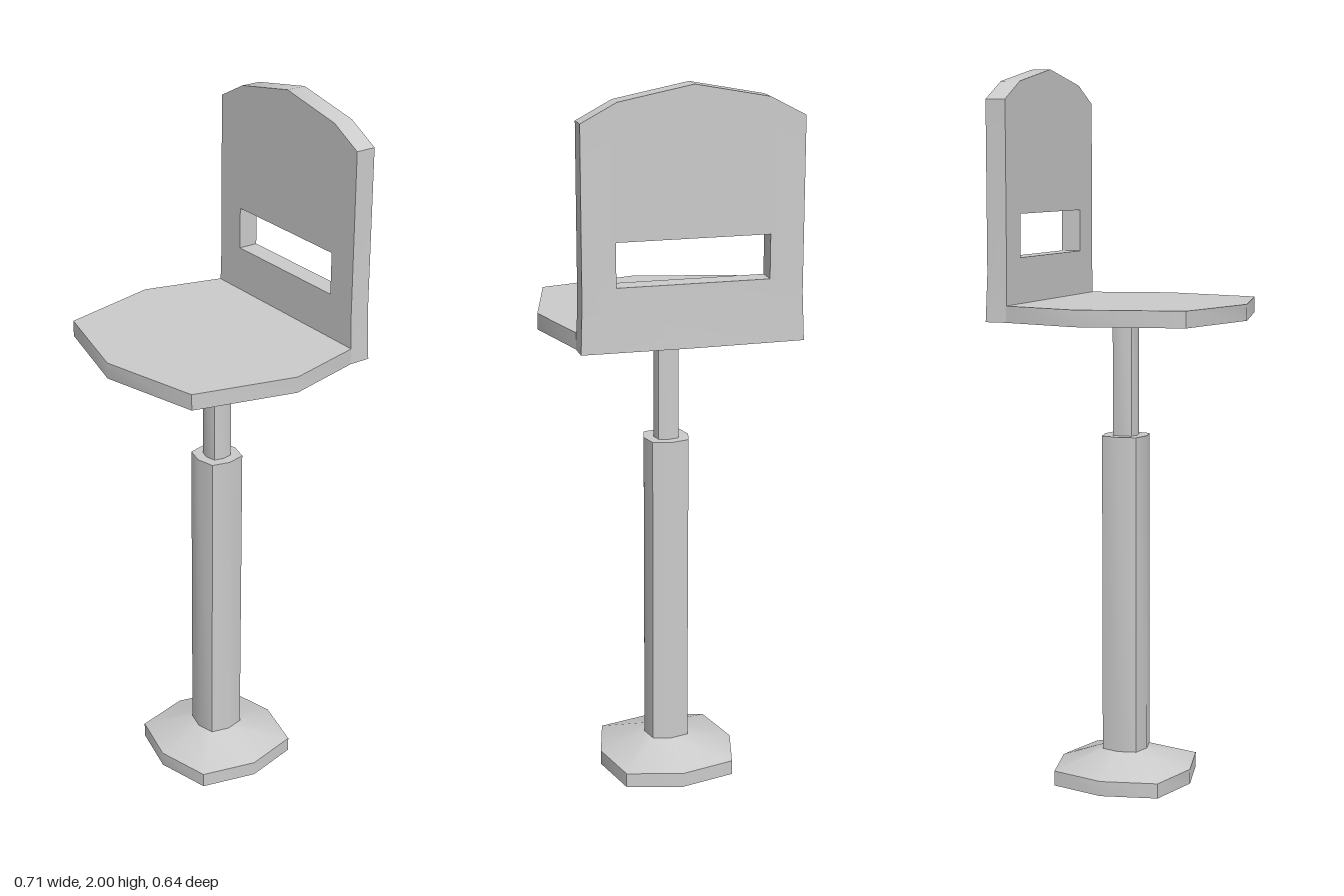
import * as THREE from 'three';
import { toCreasedNormals } from 'three/addons/utils/BufferGeometryUtils.js';

const material = new THREE.MeshStandardMaterial({ color: 0xcccccc });
const CREASE = 0.6;
const AXIS_Z = -0.032;

function part(name, geometry) {
  const mesh = new THREE.Mesh(toCreasedNormals(geometry, CREASE), material);
  mesh.name = name;
  return mesh;
}

// Eight-sided turned part; its diagonal corners are pushed out to make a bulging square.
function turned(name, profile) {
  const geometry = new THREE.LatheGeometry(profile.map(([r, y]) => new THREE.Vector2(r, y)), 8);
  const p = geometry.attributes.position;
  for (let i = 0; i < p.count; i++) {
    const x = p.getX(i), z = p.getZ(i);
    const k = Math.abs(x) > 1e-4 && Math.abs(z) > 1e-4 ? 0.8 * Math.SQRT2 : 1;
    p.setXYZ(i, x * k, p.getY(i), z * k);
  }
  const mesh = part(name, geometry);
  mesh.position.z = AXIS_Z;
  return mesh;
}

// Closed outline from its right half (bottom centre to top centre), mirrored in x.
function mirroredShape(half) {
  const left = half.filter(([x]) => x > 0).reverse().map(([x, y]) => [-x, y]);
  return new THREE.Shape([...half, ...left].map(([x, y]) => new THREE.Vector2(x, y)));
}

function seat() {
  // Outline drawn with y = -z, then laid flat
  const shape = mirroredShape([[0, -0.322], [0.285, -0.25], [0.357, 0.035], [0.3, 0.257], [0, 0.257]]);
  const geometry = new THREE.ExtrudeGeometry(shape, { depth: 0.045, bevelEnabled: false });
  geometry.rotateX(-Math.PI / 2);
  geometry.translate(0, 1.32, 0);
  return part('seat', geometry);
}

function backrest() {
  const shape = mirroredShape([
    [0, 1.32], [0.3, 1.32], [0.295, 1.45], [0.295, 1.912], [0.2, 1.962], [0, 2],
  ]);
  // Hand slot
  shape.holes.push(new THREE.Path([[-0.205, 1.49], [-0.205, 1.608], [0.205, 1.608], [0.205, 1.49]]
    .map(([x, y]) => new THREE.Vector2(x, y))));
  const geometry = new THREE.ExtrudeGeometry(shape, { depth: 0.057, bevelEnabled: false });
  geometry.translate(0, 0, -0.314);
  // The foot of the rear face flares back slightly, most at the middle
  const p = geometry.attributes.position;
  for (let i = 0; i < p.count; i++) {
    if (p.getY(i) < 1.33 && p.getZ(i) < -0.3) p.setZ(i, Math.abs(p.getX(i)) < 0.01 ? -0.323 : -0.318);
  }
  return part('backrest', geometry);
}

export function createModel() {
  const stool = new THREE.Group();
  stool.name = 'stool';
  stool.add(
    turned('base', [[0, 0], [0.195, 0], [0.195, 0.042], [0.064, 0.09]]),
    turned('column', [[0.064, 0.09], [0.064, 0.99], [0, 0.99]]),
    turned('rod', [[0.035, 0.99], [0.035, 1.32]]),
    seat(),
    backrest(),
  );
  return stool;
}
